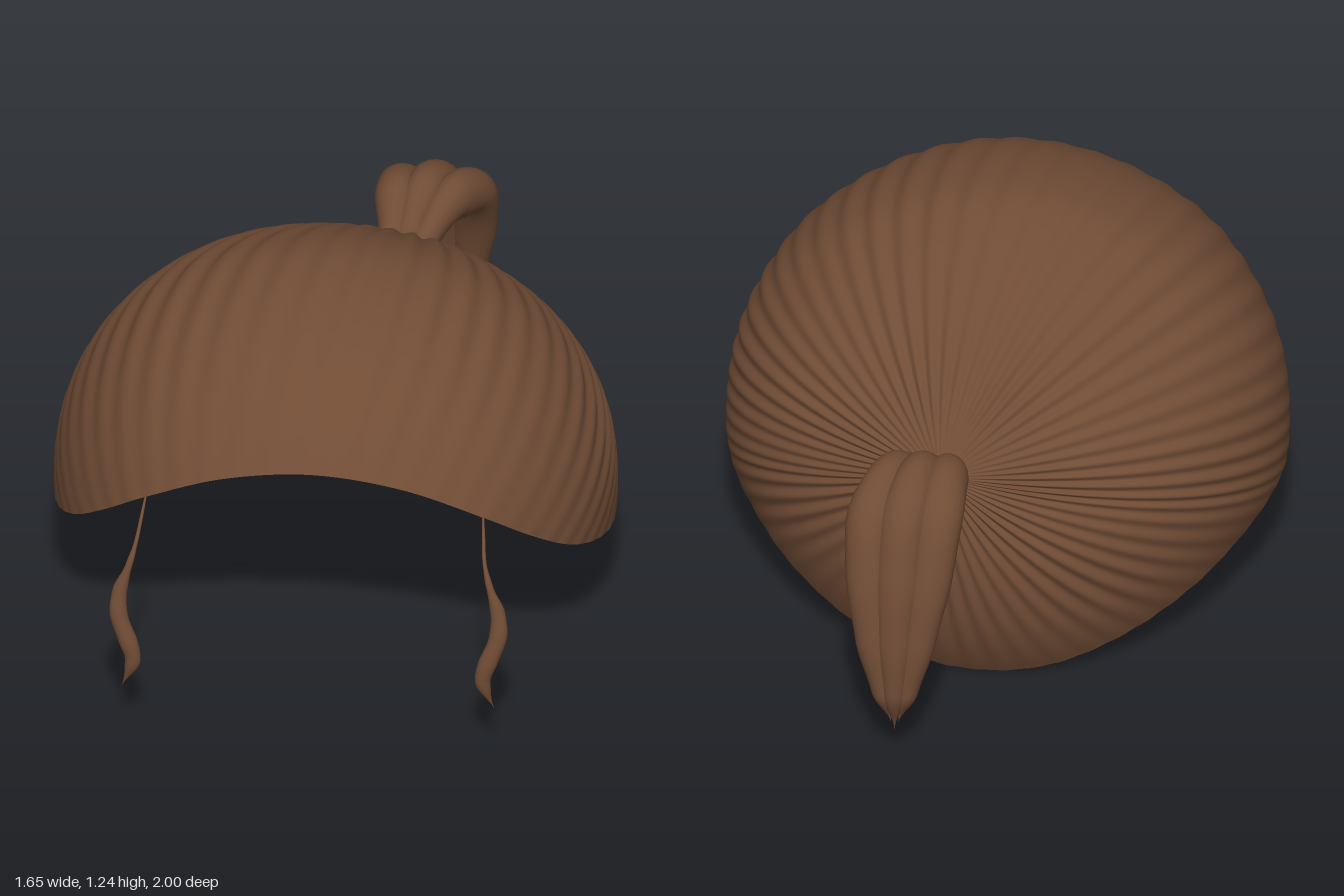
import * as THREE from 'three';

const brown = new THREE.MeshStandardMaterial({ color: 0x704c35, side: THREE.DoubleSide });
brown.name = 'brown hair';

const v = (x, y, z) => new THREE.Vector3(x, y, z);

// Surface from rings: fn(u, t) gives a point, u runs around (closed), t runs along
function loft(cols, rows, fn) {
  const pos = [], idx = [];
  for (let j = 0; j <= rows; j++)
    for (let i = 0; i < cols; i++) pos.push(...fn(i / cols, j / rows).toArray());
  for (let j = 0; j < rows; j++)
    for (let i = 0; i < cols; i++) {
      const n = (i + 1) % cols;
      const a = j * cols + i, b = j * cols + n, c = a + cols, d = b + cols;
      idx.push(a, b, c, b, d, c);
    }
  const g = new THREE.BufferGeometry();
  g.setAttribute('position', new THREE.Float32BufferAttribute(pos, 3));
  g.setIndex(idx);
  g.computeVertexNormals();
  return g;
}

function mesh(name, geometry) {
  const m = new THREE.Mesh(geometry, brown);
  m.name = name;
  return m;
}

// Smooth lookup in a list of evenly spaced values
function along(list, t) {
  const f = t * (list.length - 1), i = Math.min(Math.floor(f), list.length - 2);
  const k = f - i;
  return THREE.MathUtils.lerp(list[i], list[i + 1], k * k * (3 - 2 * k));
}

// Tapered lock of hair with an oval section; widths lie along x
function lock(points, widths, depths, rows = 48) {
  const curve = new THREE.CatmullRomCurve3(points);
  return loft(20, rows, (u, t) => {
    const a = u * Math.PI * 2, p = curve.getPoint(t);
    const normal = curve.getTangent(t).cross(v(1, 0, 0)).normalize();
    p.x += Math.cos(a) * along(widths, t);
    return p.addScaledVector(normal, -Math.sin(a) * along(depths, t));
  });
}

// Pleated cap: meridians sweep from the gathering point to the hairline
function capGeometry() {
  const half = [
    [0, .003, -.47], [.2, .028, -.455], [.4, .1, -.39], [.58, .19, -.27], [.7, .265, -.13],
    [.79, .335, .03], [.82, .36, .22], [.79, .43, .43], [.72, .525, .6], [.62, .635, .72],
    [.5, .74, .8], [.26, .865, .86], [0, .912, .88],
  ];
  const other = half.slice(1, -1).reverse().map(([x, y, z]) => [-x, y, z]);
  const rim = new THREE.CatmullRomCurve3([...half, ...other].map(p => v(...p)), true);
  rim.arcLengthDivisions = 1000;
  const centre = v(0, .42, .2), radii = v(.825, .8, .775);

  // Distance to the skull in a direction, flattened a little at the upper back
  const skull = d => {
    const n = d.clone().divide(radii), r = 1 / n.length();
    n.normalize();
    const back = Math.max(0, -n.z), up = Math.max(0, n.y);
    return r * (1 - .2 * up * up * back * back / (back + .15));
  };
  const pole = v(.12, .7, -.5).sub(centre);
  const poleDir = pole.clone().normalize();
  const poleK = pole.length() / skull(poleDir);

  return loft(448, 44, (u, s) => {
    const t = Math.pow(s, 1.25);
    const r = rim.getPointAt(u).sub(centre), rDir = r.clone().normalize();
    const ang = poleDir.angleTo(rDir);
    const d = poleDir.clone().multiplyScalar(Math.sin((1 - t) * ang))
      .addScaledVector(rDir, Math.sin(t * ang)).normalize();
    const k = THREE.MathUtils.lerp(poleK, r.length() / skull(rDir), t * t);
    // Pleats fade at the gathering point and soften at the hairline
    const w = u * Math.PI * 2;
    const wave = Math.sin(56 * w + 1.5 * Math.sin(3 * w)) * (.8 + .2 * Math.sin(7 * w));
    const fade = THREE.MathUtils.smoothstep(t, .02, .2) *
      (1 - .8 * THREE.MathUtils.smoothstep(t, .6, 1));
    return d.multiplyScalar(skull(d) * k + .0065 * wave * fade).add(centre);
  });
}

function ponytail() {
  const group = new THREE.Group();
  group.name = 'ponytail';
  const path = [
    [.12, .7, -.435], [.12, .715, -.51], [.135, .768, -.58], [.165, .822, -.69],
    [.19, .778, -.805], [.2, .62, -.888], [.205, .42, -.937], [.205, .25, -.957], [.205, .11, -.962],
  ];
  const spread = [.034, .032, .05, .082, .098, .09, .066, .034, .01];
  for (const side of [-1, 0, 1]) {
    const lift = side === 0 ? .012 : 0;
    const points = path.map(([x, y, z], i) => {
      const k = i > 1 && i < 8 ? lift : 0;
      return v(x + side * spread[i], y + k + (i === 8 ? Math.abs(side) * .03 : 0), z - k);
    });
    group.add(mesh('ponytailLock', lock(points,
      [0, .03, .046, .065, .072, .068, .054, .036, 0],
      [0, .03, .052, .075, .066, .056, .05, .038, 0], 64)));
  }
  // Band around the gathered hair
  const band = mesh('hairBand', new THREE.TorusGeometry(.05, .017, 12, 36));
  band.position.set(.122, .722, -.522);
  band.scale.set(1.1, .75, 1);
  band.lookAt(.135, .775, -.59);
  group.add(band);
  return group;
}

// Loose wavy strand at the temple
function strand(side) {
  const points = [
    [.495, .745, .79], [.503, .7, .85], [.512, .655, .908], [.53, .59, .936], [.555, .51, .948],
    [.557, .43, .961], [.53, .35, .972], [.514, .28, .978], [.548, .185, .974],
  ].map(([x, y, z]) => v(side * x, y, z));
  return mesh(side > 0 ? 'leftStrand' : 'rightStrand', lock(points,
    [.003, .005, .006, .011, .022, .027, .029, .023, 0],
    [.003, .005, .007, .012, .018, .023, .025, .019, 0]));
}

export function createModel() {
  const model = new THREE.Group();
  model.name = 'hair';
  model.add(mesh('hairCap', capGeometry()), ponytail(), strand(1), strand(-1));
  return model;
}
